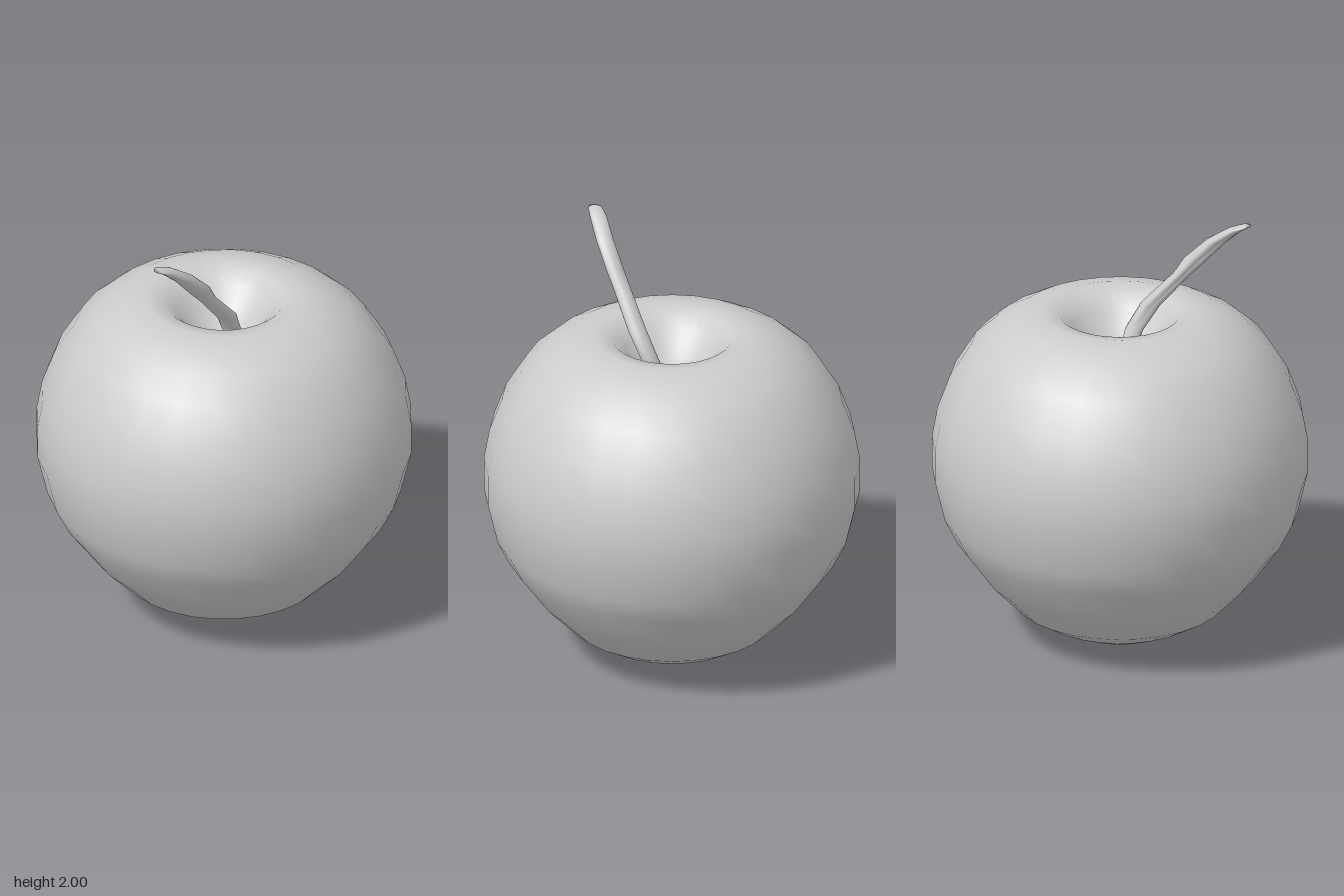
import * as THREE from 'three';

const grey = () => new THREE.MeshStandardMaterial({ color: 0xcccccc, side: THREE.DoubleSide });

// Round fruit with a dimple sunk into the flat top
function makeFruit() {
  const profile = [
    [0, 0], [0.13, 0.022], [0.25, 0.05], [0.36, 0.1], [0.47, 0.165], [0.61, 0.31], [0.74, 0.49],
    [0.8, 0.61], [0.845, 0.8], [0.845, 0.95], [0.82, 1.09], [0.765, 1.24], [0.67, 1.395],
    [0.57, 1.485], [0.46, 1.545], [0.35, 1.57], [0.27, 1.555], [0.21, 1.5], [0.15, 1.43],
    [0.08, 1.37], [0, 1.34],
  ].map(([r, y]) => new THREE.Vector2(r, y));
  const mesh = new THREE.Mesh(new THREE.LatheGeometry(profile, 28), grey());
  mesh.name = 'fruit';
  return mesh;
}

// Leaning stalk: loops of a grooved oval, closed at both ends
function makeStalk() {
  // height, left x, right x, centre z, half depth
  const rings = [
    [1.3, -0.03, 0.04, 0.03, 0.03], [1.45, -0.04, 0.045, 0.1, 0.04],
    [1.57, -0.095, 0.0, 0.157, 0.042], [1.72, -0.205, -0.125, 0.226, 0.04],
    [1.8, -0.275, -0.165, 0.262, 0.04], [1.9, -0.355, -0.26, 0.307, 0.04],
    [1.97, -0.43, -0.36, 0.336, 0.038], [1.993, -0.465, -0.415, 0.352, 0.03],
  ];
  const sides = 16;
  const positions = [], index = [];
  rings.forEach(([y, x0, x1, z, d], j) => {
    const groove = j > 1 && j < 6 ? 0.4 : 0;
    for (let i = 0; i < sides; i++) {
      const a = (i / sides) * Math.PI * 2;
      // shallow groove along the back left
      const dent = 1 - groove * Math.max(0, Math.cos(a - Math.PI * 1.2)) ** 6;
      positions.push((x0 + x1) / 2 + ((x1 - x0) / 2) * Math.cos(a) * dent, y, z + d * Math.sin(a) * dent);
    }
  });
  for (let j = 0; j < rings.length - 1; j++) {
    for (let i = 0; i < sides; i++) {
      const a = j * sides + i, b = j * sides + (i + 1) % sides;
      index.push(a, a + sides, b, b, a + sides, b + sides);
    }
  }
  // end caps
  const bottom = positions.length / 3, top = bottom + 1, last = (rings.length - 1) * sides;
  positions.push(0.005, 1.29, 0.03, -0.445, 2.0, 0.355);
  for (let i = 0; i < sides; i++) {
    const n = (i + 1) % sides;
    index.push(bottom, i, n, top, last + n, last + i);
  }
  const geometry = new THREE.BufferGeometry();
  geometry.setAttribute('position', new THREE.Float32BufferAttribute(positions, 3));
  geometry.setIndex(index);
  geometry.computeVertexNormals();
  const mesh = new THREE.Mesh(geometry, grey());
  mesh.name = 'stalk';
  return mesh;
}

export function createModel() {
  const group = new THREE.Group();
  group.name = 'apple';
  group.add(makeFruit(), makeStalk());
  return group;
}
